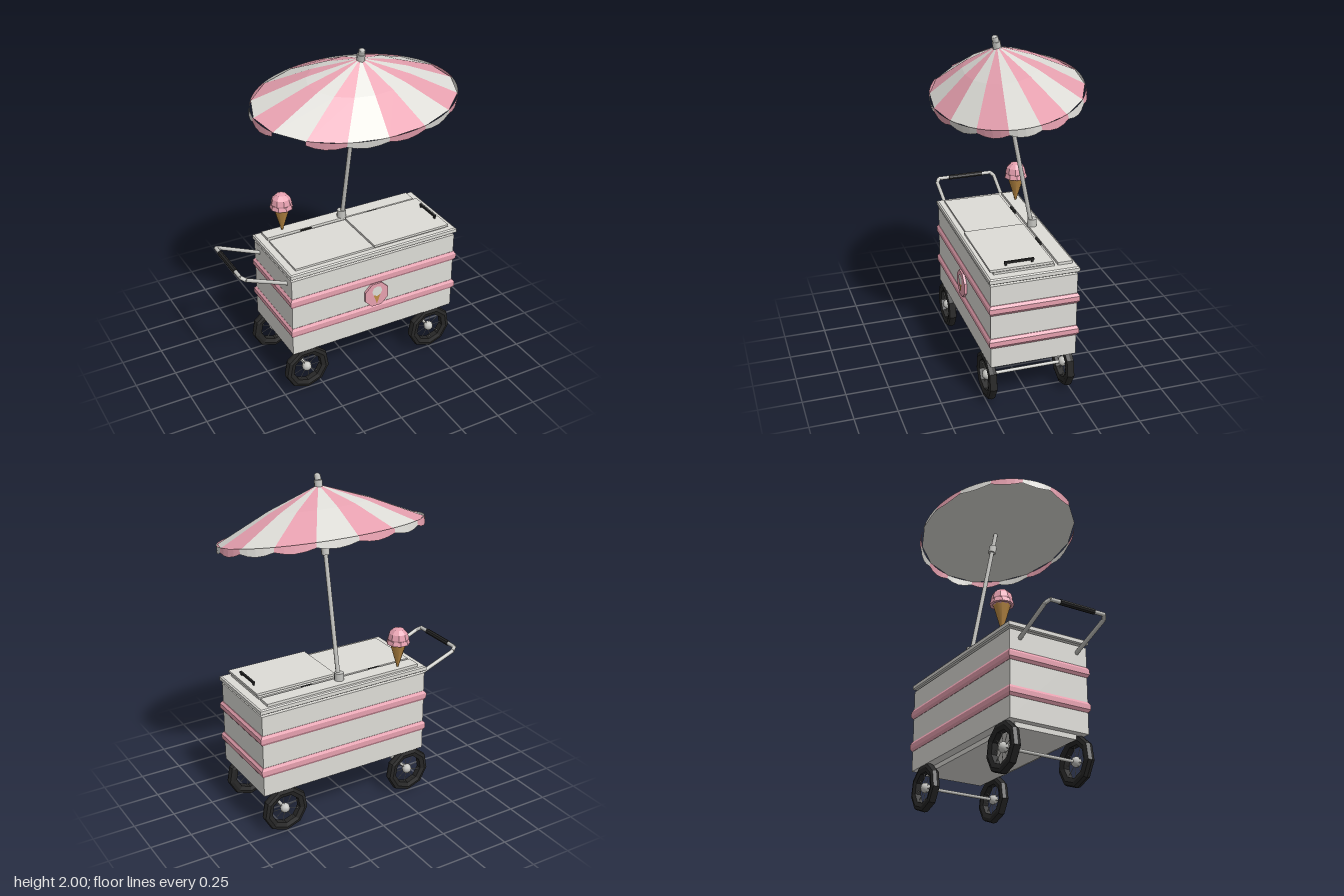
import * as THREE from 'three';

const paint = (name, color, extra = {}) => {
  const m = new THREE.MeshStandardMaterial({ color, ...extra });
  m.name = name;
  return m;
};

export function createModel() {
  const white = paint('warm white', 0xdddcd7);
  const pink = paint('pastel pink', 0xe6a0af);
  const metal = paint('metal grey', 0xc4c4c0);
  const black = paint('rubber black', 0x262626);
  const waffle = paint('waffle tan', 0xbf8d45);
  const clothWhite = paint('canopy white', 0xdddcd7, { side: THREE.DoubleSide });
  const clothPink = paint('canopy pink', 0xe6a0af, { side: THREE.DoubleSide });
  for (const m of [black, pink, clothWhite, clothPink]) m.flatShading = true;

  const model = new THREE.Group();
  model.name = 'iceCreamCart';
  const V = (x, y, z) => new THREE.Vector3(x, y, z);
  const add = (name, geo, mat, pos = [0, 0, 0], parent = model) => {
    const mesh = new THREE.Mesh(geo, mat);
    mesh.name = name;
    mesh.position.set(...pos);
    parent.add(mesh);
    return mesh;
  };
  // box given by its minimum and maximum corners
  const box = (name, mat, x0, x1, y0, y1, z0, z1) =>
    add(name, new THREE.BoxGeometry(x1 - x0, y1 - y0, z1 - z0), mat,
      [(x0 + x1) / 2, (y0 + y1) / 2, (z0 + z1) / 2]);
  // round bar between two points
  const rod = (name, mat, a, b, r, parent = model, sides = 8) => {
    const mesh = add(name, new THREE.CylinderGeometry(r, r, a.distanceTo(b), sides), mat,
      a.clone().add(b).multiplyScalar(0.5).toArray(), parent);
    mesh.quaternion.setFromUnitVectors(V(0, 1, 0), b.clone().sub(a).normalize());
    return mesh;
  };
  const triangles = (pts) => {
    const g = new THREE.BufferGeometry().setFromPoints(pts);
    g.computeVertexNormals();
    return g;
  };
  // stack of rectangles [y, half x, half z], closed at both ends
  const loft = (rects) => {
    const pts = [];
    const c = ([y, hx, hz], i) => V([1, 1, -1, -1][i % 4] * hx, y, [1, -1, -1, 1][i % 4] * hz);
    const quad = (a, b, d, e) => pts.push(a, b, d, a, d, e);
    for (let k = 0; k + 1 < rects.length; k++)
      for (let i = 0; i < 4; i++)
        quad(c(rects[k], i), c(rects[k], i + 1), c(rects[k + 1], i + 1), c(rects[k + 1], i));
    const lo = rects[0], hi = rects[rects.length - 1];
    quad(c(lo, 3), c(lo, 2), c(lo, 1), c(lo, 0));
    quad(c(hi, 0), c(hi, 1), c(hi, 2), c(hi, 3));
    return triangles(pts);
  };

  // cabinet, underside and trim
  const cx = 0.104;
  box('cabinet', white, -0.44, 0.645, 0.275, 0.78, -0.25, 0.25);
  box('chassis', white, -0.4, 0.6, 0.247, 0.275, -0.195, 0.195);
  for (const y of [0.428, 0.632])
    add('pinkBand', loft([[-0.03, 0.545, 0.252], [-0.014, 0.556, 0.261],
      [0.014, 0.556, 0.261], [0.03, 0.545, 0.252]]), pink, [cx, y, 0]);

  // counter and lids
  box('counterNeck', white, -0.4, 0.61, 0.78, 0.795, -0.21, 0.21);
  add('counter', loft([[0, 0.544, 0.25], [0.006, 0.552, 0.258],
    [0.027, 0.552, 0.258], [0.033, 0.544, 0.25]]), white, [cx, 0.793, 0]);
  box('leftLid', white, -0.4, 0.1, 0.826, 0.838, -0.13, 0.22);
  box('rightLidBase', white, 0.1, 0.6, 0.826, 0.838, -0.13, 0.22);
  box('rightLid', white, 0.1, 0.605, 0.843, 0.857, -0.12, 0.24);
  box('lidSpacer', metal, 0.13, 0.57, 0.838, 0.843, -0.1, 0.2);
  box('backShelf', white, -0.4, 0.6, 0.826, 0.842, -0.235, -0.15);
  for (const x of [-0.15, 0.3]) box('hinge', black, x - 0.035, x + 0.035, 0.826, 0.842, -0.148, -0.134);
  box('lidHandle', black, 0.565, 0.577, 0.869, 0.88, -0.02, 0.15);
  for (const z of [-0.01, 0.14]) box('lidHandlePost', black, 0.567, 0.575, 0.857, 0.87, z - 0.006, z + 0.006);

  // front badge with a flat cone picture
  const badge = add('badge', new THREE.CylinderGeometry(0.083, 0.083, 0.015, 8), pink, [0.107, 0.53, 0.258]);
  badge.rotation.set(Math.PI / 2, Math.PI / 8, 0);
  add('badgeCone', triangles([V(-0.026, 0, 0), V(0, -0.07, 0), V(0.026, 0, 0)]), waffle, [0.107, 0.538, 0.268]);
  add('badgeScoop', new THREE.CircleGeometry(0.034, 8), white, [0.107, 0.556, 0.269]);

  // push handle
  const arm = [V(-0.43, 0.733, 0), V(-0.69, 0.84, 0), V(-0.714, 0.855, 0)];
  const at = (p, z) => V(p.x, p.y, z);
  for (const s of [-1, 1]) {
    rod('handleArm', metal, at(arm[0], s * 0.185), at(arm[1], s * 0.19), 0.012);
    rod('handleCorner', metal, at(arm[1], s * 0.19), at(arm[2], s * 0.172), 0.012);
  }
  rod('handleBar', metal, at(arm[2], -0.175), at(arm[2], 0.175), 0.012);
  rod('handleGrip', black, at(arm[2], -0.113), at(arm[2], 0.107), 0.016);

  // wheels and axles
  const tyre = new THREE.LatheGeometry([[0.092, -0.018], [0.118, -0.026], [0.138, -0.02], [0.144, 0],
    [0.138, 0.02], [0.118, 0.026], [0.092, 0.018], [0.092, -0.018]]
    .map(([r, y]) => new THREE.Vector2(r, y)), 9).rotateX(Math.PI / 2);
  for (const x of [-0.345, 0.505]) {
    rod('axle', metal, V(x, 0.144, -0.23), V(x, 0.144, 0.23), 0.01);
    for (const z of [-0.23, 0.23]) {
      const wheel = new THREE.Group();
      wheel.name = 'wheel';
      wheel.position.set(x, 0.144, z);
      model.add(wheel);
      add('tyre', tyre, black, [0, 0, 0], wheel);
      add('hub', new THREE.SphereGeometry(0.03, 8, 6), metal, [0, 0, 0], wheel);
      for (let i = 0; i < 9; i++) {
        const a = (i / 9) * Math.PI * 2;
        rod('spoke', metal, V(0, 0, 0), V(Math.cos(a) * 0.095, Math.sin(a) * 0.095, 0), 0.002, wheel, 4);
      }
    }
  }

  // large ice cream on the back shelf
  const ice = new THREE.Group();
  ice.name = 'iceCream';
  ice.position.set(-0.28, 0.842, -0.2);
  model.add(ice);
  add('cone', new THREE.CylinderGeometry(0.053, 0.005, 0.16, 9), waffle, [0, 0.08, 0], ice);
  add('scoop', new THREE.SphereGeometry(0.063, 9, 6), pink, [0, 0.185, 0], ice);
  add('scoopSkirt', new THREE.CylinderGeometry(0.062, 0.07, 0.025, 9), pink, [0, 0.165, 0], ice);

  // tilted parasol
  add('poleSocket', new THREE.CylinderGeometry(0.028, 0.03, 0.05, 8), metal, [0.105, 0.862, -0.172]);
  const parasol = new THREE.Group();
  parasol.name = 'parasol';
  parasol.position.set(0.107, 0.85, -0.168);
  parasol.rotation.x = 0.19;
  model.add(parasol);
  rod('pole', metal, V(0, 0, 0), V(0, 1.12, 0), 0.013, parasol);
  rod('poleSleeve', metal, V(0, 0.72, 0), V(0, 0.765, 0), 0.024, parasol);
  rod('finialCollar', metal, V(0, 1.095, 0), V(0, 1.135, 0), 0.024, parasol);
  rod('finial', metal, V(0, 1.135, 0), V(0, 1.163, 0.004), 0.019, parasol);
  add('finialTip', new THREE.SphereGeometry(0.019, 8, 6), metal, [0, 1.155, 0.004], parasol);

  const rimY = 0.86, apex = V(0, 1.11, 0);
  const rim = (t, k = 1, y = rimY) => V(0.62 * k * Math.cos(t), y, 0.408 * k * Math.sin(t));
  const step = Math.PI / 8, start = 0.03;
  const cloth = [[], []], skirt = [[], []], under = [];
  for (let i = 0; i < 16; i++) {
    const t0 = start + i * step, t1 = t0 + step;
    const m0 = rim(t0, 0.5, 1.0), m1 = rim(t1, 0.5, 1.0), r0 = rim(t0), r1 = rim(t1);
    cloth[i % 2].push(apex, m1, m0, m0, m1, r1, m0, r1, r0);
    under.push(V(0, rimY, 0), r0, r1);
    if (i === 6) continue; // one flap is absent
    // scalloped flap hanging from the rim
    for (let j = 0; j < 4; j++) {
      const edge = (u) => [rim(t0 + u * step, 1.005, rimY + 0.006),
        rim(t0 + u * step, 1.008, rimY - 0.022 - 0.018 * Math.sin(u * Math.PI))];
      const [a, b] = edge(j / 4), [c, d] = edge((j + 1) / 4);
      skirt[i % 2].push(a, c, b, b, c, d);
    }
  }
  [clothWhite, clothPink].forEach((mat, i) => {
    add('canopyGores', triangles(cloth[i]), mat, [0, 0, 0], parasol);
    add('canopyFlaps', triangles(skirt[i]), mat, [0, 0, 0], parasol);
  });
  add('canopyLining', triangles(under), white, [0, 0, 0], parasol);

  return model;
}
